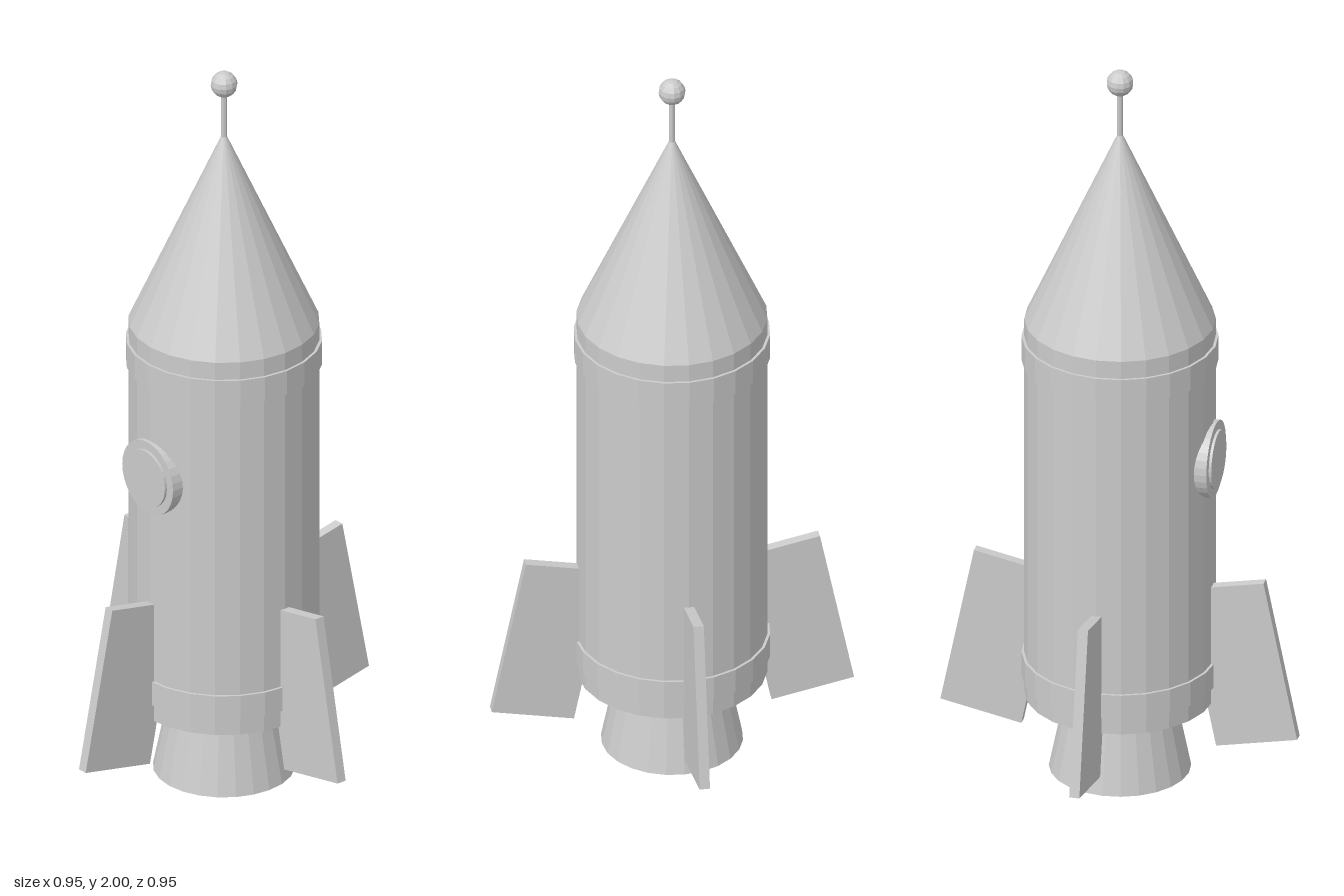
import * as THREE from 'three';

const SIDES = 24;

export function createModel() {
  const model = new THREE.Group();
  model.name = 'rocket';
  const material = new THREE.MeshStandardMaterial({ color: 0xcccccc, flatShading: true });

  function add(name, geometry, parent = model) {
    const mesh = new THREE.Mesh(geometry, material);
    mesh.name = name;
    parent.add(mesh);
    return mesh;
  }

  // Upright round part between two heights
  function column(name, rTop, rBottom, y0, y1, sides = SIDES) {
    const mesh = add(name, new THREE.CylinderGeometry(rTop, rBottom, y1 - y0, sides));
    mesh.position.y = (y0 + y1) / 2;
    return mesh;
  }

  // Fuselage, nose and engine
  column('engineNozzle', 0.14, 0.183, 0, 0.212);
  column('body', 0.246, 0.246, 0.212, 1.286);
  column('lowerBand', 0.253, 0.253, 0.26, 0.327);
  column('upperBand', 0.253, 0.253, 1.168, 1.237);
  const nose = add('noseCone', new THREE.ConeGeometry(0.246, 0.546, SIDES));
  nose.position.y = 1.286 + 0.273;

  // Antenna with ball tip
  column('antennaRod', 0.008, 0.008, 1.8, 1.96, 8);
  const tip = add('antennaTip', new THREE.SphereGeometry(0.035, 12, 8));
  tip.position.y = 1.965;

  // Porthole: frame disc with a slightly raised pane
  function porthole(name, radius, z0, z1) {
    const mesh = add(name, new THREE.CylinderGeometry(radius, radius, z1 - z0, 32));
    mesh.rotation.x = Math.PI / 2;
    mesh.position.set(0, 0.913, (z0 + z1) / 2);
  }
  porthole('portholeFrame', 0.102, 0.215, 0.255);
  porthole('portholePane', 0.078, 0.22, 0.262);

  // Four tilted slab fins
  for (let i = 0; i < 4; i++) {
    const mount = new THREE.Group();
    mount.name = 'finMount' + (i + 1);
    mount.rotation.y = (i * Math.PI) / 2;
    const fin = add('fin', new THREE.BoxGeometry(0.219, 0.448, 0.027), mount);
    fin.position.set(0.321, 0.335, 0);
    fin.rotation.z = 0.2;
    model.add(mount);
  }

  return model;
}
